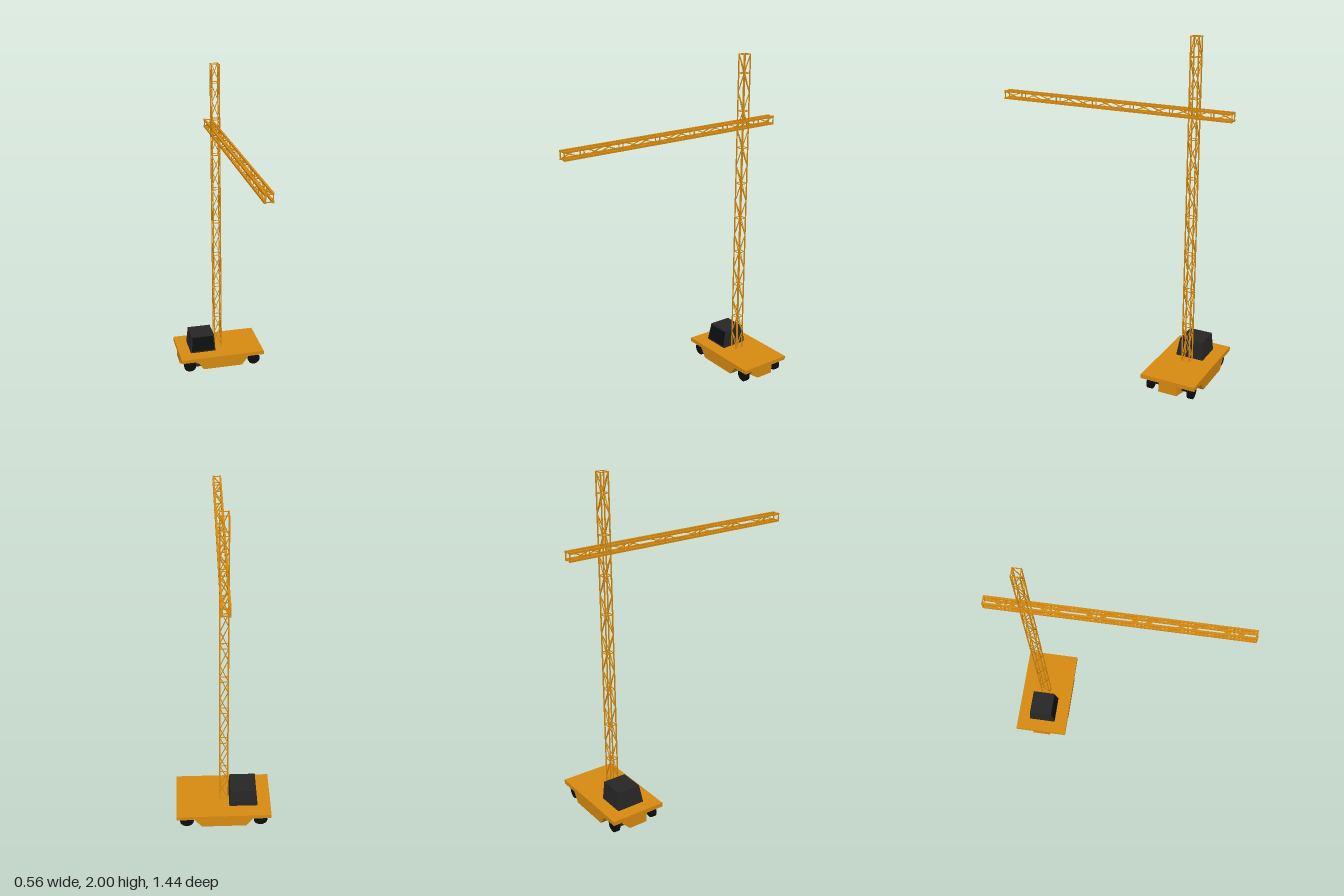
import * as THREE from 'three';
import { mergeGeometries } from 'three/addons/utils/BufferGeometryUtils.js';

const paint = (color) => new THREE.MeshStandardMaterial({ color, flatShading: true });
const orange = paint(0xd68a10), cabGrey = paint(0x262626), glass = paint(0x0b0f10), rubber = paint(0x0d0d0d);
const CX = -0.006, CZ = -0.497; // mast axis

function add(parent, name, geometry, material, x = 0, y = 0, z = 0) {
  const mesh = new THREE.Mesh(geometry, material);
  mesh.name = name;
  mesh.position.set(x, y, z);
  parent.add(mesh);
  return mesh;
}

// Square bar between two points
function bar(a, b, t) {
  const d = new THREE.Vector3().subVectors(b, a);
  const g = new THREE.BoxGeometry(t, d.length(), t);
  g.applyQuaternion(new THREE.Quaternion().setFromUnitVectors(new THREE.Vector3(0, 1, 0), d.normalize()));
  const m = a.clone().add(b).multiplyScalar(0.5);
  return g.translate(m.x, m.y, m.z);
}

// Square lattice along +y: four chords, zigzag braces mirrored on opposite faces
function lattice(length, width, bays, chord, brace) {
  const o = width / 2 - chord / 2, step = length / bays;
  const corners = [[-o, o], [o, o], [o, -o], [-o, -o]];
  const at = (i, y) => new THREE.Vector3(corners[i % 4][0], y, corners[i % 4][1]);
  const parts = [];
  for (let i = 0; i < 4; i++) {
    parts.push(bar(at(i, 0), at(i, length), chord));
    for (let b = 0; b < bays; b++) {
      const flip = (b + i) % 2;
      parts.push(bar(at(i + flip, b * step), at(i + 1 - flip, (b + 1) * step), brace));
      if (b % 2) parts.push(bar(at(i, b * step), at(i + 1, b * step), brace));
    }
    for (const y of [brace / 2, length - brace / 2]) parts.push(bar(at(i, y), at(i + 1, y), brace));
  }
  return mergeGeometries(parts);
}

// Box whose top is tapered: each end given as [x0, x1, z0, z1]
function taperedBox(bottom, top, y0, y1) {
  const g = new THREE.BoxGeometry(1, 1, 1), p = g.attributes.position;
  for (let i = 0; i < p.count; i++) {
    const up = p.getY(i) > 0, r = up ? top : bottom;
    p.setXYZ(i, r[p.getX(i) > 0 ? 1 : 0], up ? y1 : y0, r[p.getZ(i) > 0 ? 3 : 2]);
  }
  g.computeVertexNormals();
  return g;
}

function outline(points) {
  return new THREE.Shape(points.map(([x, y]) => new THREE.Vector2(x, y)));
}

function createModel() {
  const model = new THREE.Group();
  model.name = 'towerCrane';

  // Carrier: deck plate, full-width belly and a narrow spine between the wheels
  const carrier = new THREE.Group();
  carrier.name = 'carrier';
  carrier.position.z = CZ;
  model.add(carrier);
  add(carrier, 'deck', new THREE.BoxGeometry(0.555, 0.025, 0.33), orange, -0.002, 0.0985, 0);
  const belly = new THREE.ExtrudeGeometry(
    outline([[-0.13, 0.025], [0.13, 0.025], [0.175, 0.088], [-0.175, 0.088]]),
    { depth: 0.324, bevelEnabled: false });
  add(carrier, 'belly', belly, orange, -0.002, 0, -0.162);
  const spine = new THREE.ExtrudeGeometry(
    outline([[-0.272, -0.056], [-0.15, -0.085], [0.15, -0.085], [0.272, -0.056],
      [0.272, 0.056], [0.15, 0.085], [-0.15, 0.085], [-0.272, 0.056]]),
    { depth: 0.062, bevelEnabled: false });
  add(carrier, 'spine', spine, orange, -0.002, 0.088, 0).rotation.x = Math.PI / 2;

  // Twin wheels on two axles
  for (const x of [-0.219, 0.215]) {
    add(carrier, 'axle', new THREE.CylinderGeometry(0.008, 0.008, 0.26, 10), rubber, x, 0.046, 0)
      .rotation.x = Math.PI / 2;
    for (const side of [-1, 1]) for (const z of [0.117, 0.133]) {
      add(carrier, 'wheel', new THREE.CylinderGeometry(0.04, 0.04, 0.011, 20), rubber, x, 0.046, side * z)
        .rotation.x = Math.PI / 2;
    }
  }

  // Operator cab, sunk through the deck
  const cab = new THREE.Group();
  cab.name = 'cab';
  model.add(cab);
  const base = [-0.203, -0.036, -0.583, -0.414];
  add(cab, 'cabBase', taperedBox([-0.2, -0.038, -0.58, -0.416], base, 0.003, 0.11), cabGrey);
  add(cab, 'cabBody', taperedBox(base, [-0.193, -0.042, -0.574, -0.434], 0.11, 0.222), cabGrey);
  add(cab, 'windscreen', taperedBox([-0.195, -0.044, -0.45, -0.4145], [-0.187, -0.048, -0.45, -0.4315],
    0.12, 0.214), glass);

  // Mast and jib
  add(model, 'mast', lattice(2, 0.052, 18, 0.006, 0.004), orange, CX, 0, CZ);
  add(model, 'jib', lattice(1.44, 0.052, 12, 0.011, 0.005), orange, CX, 1.587, -0.72)
    .rotation.x = Math.PI / 2;
  return model;
}

export { createModel };
